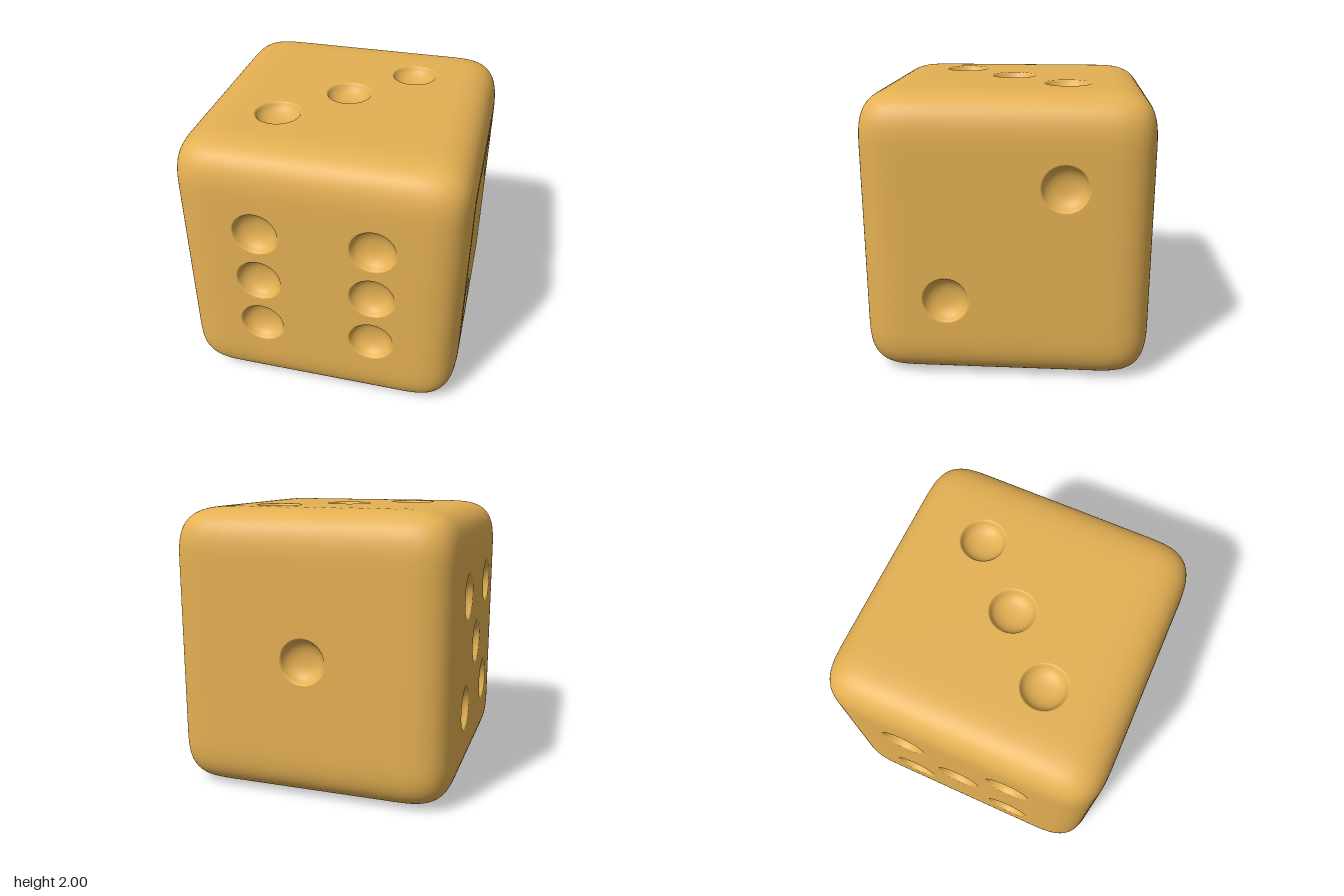
import * as THREE from 'three';

const CORE = 0.575;  // half size of the flat middle of each face
const POWER = 3.6;   // softness of the rounded edges and corners
const LIP = 0.168;   // outer radius of a pip
const STEPS = 16;    // grid steps across a rounded edge
const P = 0.4;       // pip spacing from the face centre

// Rounded border of one face (facing +z), leaving the flat middle open
function borderGeometry() {
  const line = [];
  for (let i = 0; i <= STEPS; i++) line.push(-1 + (1 - CORE) * i / STEPS);
  for (let i = STEPS; i >= 0; i--) line.push(-line[i]);
  const n = line.length, positions = [], normals = [], index = [];
  for (const y of line) for (const x of line) {
    // superellipsoid corners swept around the inner core
    const q = [x, y, 1];
    const d = q.map(v => Math.max((Math.abs(v) - CORE) / (1 - CORE), 0));
    const len = Math.pow(d.reduce((s, v) => s + Math.pow(v, POWER), 0), 1 / POWER);
    q.forEach((v, k) => positions.push(
      Math.sign(v) * (Math.min(Math.abs(v), CORE) + (1 - CORE) * d[k] / len)));
    const normal = new THREE.Vector3(...q.map((v, k) => Math.sign(v) * Math.pow(d[k], POWER - 1)));
    normals.push(...normal.normalize().toArray());
  }
  for (let j = 0; j < n - 1; j++) for (let i = 0; i < n - 1; i++) {
    if (i === STEPS && j === STEPS) continue;
    const a = j * n + i, b = a + 1, c = a + n, e = c + 1;
    index.push(a, b, e, a, e, c);
  }
  const g = new THREE.BufferGeometry();
  g.setAttribute('position', new THREE.Float32BufferAttribute(positions, 3));
  g.setAttribute('normal', new THREE.Float32BufferAttribute(normals, 3));
  g.setIndex(index);
  return g;
}

// Flat middle of a face with a round hole for every pip
function panelGeometry(pips) {
  const s = new THREE.Shape();
  s.moveTo(-CORE, -CORE).lineTo(CORE, -CORE).lineTo(CORE, CORE).lineTo(-CORE, CORE).closePath();
  for (const [x, y] of pips) {
    s.holes.push(new THREE.Path().absarc(x, y, LIP, 0, Math.PI * 2, true));
  }
  return new THREE.ShapeGeometry(s, 24).translate(0, 0, 1);
}

// Shallow bowl with a soft lip, opening towards +z
function pipGeometry() {
  const profile = new THREE.SplineCurve([
    [LIP, 0], [0.162, -0.001], [0.155, -0.007], [0.148, -0.02], [0.138, -0.036],
    [0.12, -0.054], [0.09, -0.071], [0.05, -0.082], [0, -0.086],
  ].map(p => new THREE.Vector2(...p)));
  const points = profile.getPoints(24);
  return new THREE.LatheGeometry(points, 48).rotateX(Math.PI / 2);
}

export function createModel() {
  const model = new THREE.Group();
  model.name = 'die';
  const material = new THREE.MeshStandardMaterial({ color: 0xe4b053 });
  const border = borderGeometry(), bowl = pipGeometry();

  const diagonal = [[-P, -P], [P, P]];
  const corners = [...diagonal, [-P, P], [P, -P]];
  const H = Math.PI / 2;
  // name, rotation about x, rotation about y, pip positions
  const faces = [
    ['front', 0, 0, [...corners, [-P, 0], [P, 0]]],
    ['back', 0, Math.PI, [[0, 0]]],
    ['right', 0, H, diagonal],
    ['left', 0, -H, [...corners, [0, 0]]],
    ['top', -H, 0, [...diagonal, [0, 0]]],
    ['bottom', H, 0, corners],
  ];

  for (const [name, rx, ry, pips] of faces) {
    const face = new THREE.Group();
    face.name = name + 'Face';
    face.rotation.set(rx, ry, 0);
    const add = (part, geometry) => {
      const mesh = new THREE.Mesh(geometry, material);
      mesh.name = part;
      face.add(mesh);
      return mesh;
    };
    add('roundedBorder', border);
    add('flatPanel', panelGeometry(pips));
    for (const [x, y] of pips) add('pip', bowl).position.set(x, y, 1);
    model.add(face);
  }
  // stand the cube on the ground
  for (const face of model.children) face.position.y = 1;
  return model;
}
